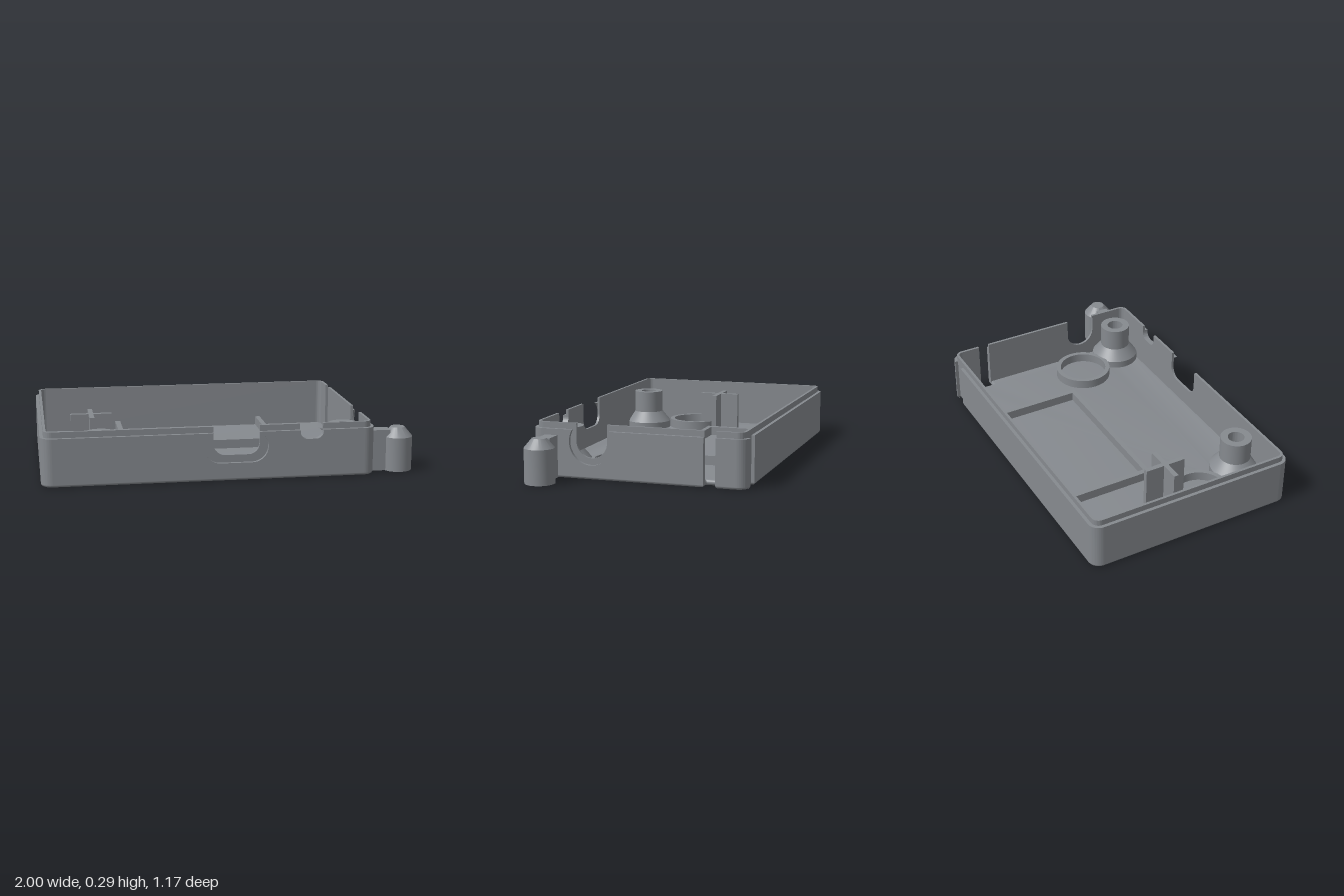
import * as THREE from 'three';
import { toCreasedNormals } from 'three/addons/utils/BufferGeometryUtils.js';

export function createModel() {
  const group = new THREE.Group();
  const grey = new THREE.MeshStandardMaterial({ color: 0x868a8f });
  grey.name = 'grey plastic';

  // Case bounds, corner radius, and the outer and inner wall layers
  const X0 = -1, X1 = 0.77, Z = 0.585, R = 0.06;
  const LIP = 0.018, WALL = 0.032, BASE = 0.015, RIM = 0.258, TOP = 0.29;
  const layers = [{ a: 0, b: LIP, top: RIM, outer: true }, { a: LIP, b: WALL, top: TOP, outer: false }];

  function add(name, geo, x = 0, y = 0, z = 0) {
    const mesh = new THREE.Mesh(geo, grey);
    mesh.name = name;
    mesh.position.set(x, y, z);
    group.add(mesh);
    return mesh;
  }
  const box = (name, x0, x1, y0, y1, z0, z1) =>
    add(name, new THREE.BoxGeometry(x1 - x0, y1 - y0, z1 - z0), (x0 + x1) / 2, (y0 + y1) / 2, (z0 + z1) / 2);
  const lathe = pts => new THREE.LatheGeometry(pts.map(p => new THREE.Vector2(...p)), 48);
  const extrude = (shape, depth) =>
    toCreasedNormals(new THREE.ExtrudeGeometry(shape, { depth, bevelEnabled: false, curveSegments: 10 }), 0.5);

  // Wall outline with rounded notches cut from its top edge (listed right to left)
  function panel(s0, s1, top, notches = []) {
    const s = new THREE.Shape();
    s.moveTo(s0, BASE);
    s.lineTo(s1, BASE);
    s.lineTo(s1, top);
    for (const n of notches) {
      const t = n.round ? Math.asin(Math.min(1, (top - n.y) / n.r)) : 0;
      if (!n.round) s.lineTo(n.c1 + n.r, top);
      s.absarc(n.c1, n.y, n.r, t, -Math.PI / 2, true);
      s.absarc(n.c0, n.y, n.r, -Math.PI / 2, -Math.PI - t, true);
      if (!n.round) s.lineTo(n.c0 - n.r, top);
    }
    s.lineTo(s0, top);
    return s;
  }

  const port = { c0: -0.04, c1: 0.085, y: 0.195, r: 0.06 };
  const portRecess = { c0: -0.065, c1: 0.105, y: 0.18, r: 0.085, round: true };
  const smallPort = { c0: 0.4, c1: 0.445, y: 0.25, r: 0.04 };
  const sidePort = { c0: -0.255, c1: -0.255, y: 0.195, r: 0.085 };
  const sideRecess = { c0: -0.255, c1: -0.255, y: 0.195, r: 0.12, round: true };

  for (const { a, b, top, outer } of layers) {
    const t = b - a;
    // Front and back walls; the back has a shallow recess beside one corner
    add('frontWall', extrude(panel(X0 + R, X1 - R, top, [smallPort, outer ? portRecess : port]), t), 0, 0, Z - b);
    add('backWall', extrude(panel(X0 + R, outer ? 0.63 : X1 - R, top), t), 0, 0, -Z + a);
    // Side walls; the left one is split by a full-height slot
    const side = (name, x, shape) => add(name, extrude(shape, t).rotateY(Math.PI / 2), x);
    side('rightWall', X0 + a, panel(-Z + R, Z - R, top));
    side('leftWall', X1 - b, panel(-Z + R, 0.355, top, [outer ? sideRecess : sidePort]));
    side('leftWallRear', X1 - b, panel(0.418, Z - R, top));
    // Rounded corners
    [[X1 - R, Z - R], [X0 + R, Z - R], [X0 + R, R - Z], [X1 - R, R - Z]].forEach(([cx, cy], k) => {
      const s = new THREE.Shape();
      const a0 = k * Math.PI / 2, a1 = a0 + Math.PI / 2;
      s.absarc(cx, cy, R - a, a0, a1, false);
      s.absarc(cx, cy, R - b, a1, a0, true);
      add('cornerWall', extrude(s, top - BASE).rotateX(-Math.PI / 2), 0, BASE, 0);
    });
  }

  // Floor with rounded lower edge, slot, rear recess and screw holes
  const posts = [[-0.685, 0.455], [0.63, 0.44]];
  const f = new THREE.Shape();
  f.moveTo(X0 + R, -Z);
  f.absarc(X1 - R, R - Z, R, -Math.PI / 2, 0, false);
  f.lineTo(X1, 0.355);
  f.lineTo(0.71, 0.355);
  f.lineTo(0.71, 0.418);
  f.lineTo(X1, 0.418);
  f.absarc(X1 - R, Z - R, R, 0, Math.PI / 2, false);
  f.lineTo(X1 - R, Z - LIP);
  f.lineTo(0.63, Z - LIP);
  f.lineTo(0.63, Z);
  f.absarc(X0 + R, Z - R, R, Math.PI / 2, Math.PI, false);
  f.absarc(X0 + R, R - Z, R, Math.PI, Math.PI * 1.5, false);
  for (const [x, z] of posts) {
    const hole = new THREE.Path();
    hole.absarc(x, -z, 0.085, 0, Math.PI * 2, true);
    f.holes.push(hole);
  }
  const bevel = 0.014;
  const floor = new THREE.ExtrudeGeometry(f, {
    depth: 0.002, bevelThickness: bevel, bevelSize: bevel, bevelOffset: -bevel, bevelSegments: 4, curveSegments: 10,
  });
  add('floor', toCreasedNormals(floor.translate(0, 0, bevel).rotateX(-Math.PI / 2), 0.5));

  // Hollow screw posts with conical feet, trimmed where they meet the walls
  for (const [x, z] of posts) {
    const geo = lathe([
      [0.075, 0], [0.103, 0], [0.103, 0.02], [0.135, 0.028], [0.135, 0.07], [0.085, 0.13],
      [0.085, 0.255], [0.045, 0.255], [0.045, 0.12], [0.075, 0.12], [0.075, 0],
    ]);
    const p = geo.attributes.position;
    for (let i = 0; i < p.count; i++) {
      p.setX(i, Math.min(p.getX(i), 0.75 - x));
      p.setZ(i, Math.min(p.getZ(i), 0.565 - z));
    }
    add('screwPost', toCreasedNormals(geo, 0.5), x, 0, z);
  }

  // Round locating rings
  for (const x of [-0.785, 0.55]) {
    const ring = lathe([[0.16, 0.02], [0.16, 0.08], [0.135, 0.08], [0.135, 0.02]]);
    add('locatingRing', toCreasedNormals(ring, 0.5), x, 0, 0.175);
  }

  // Three-sided frame against the back wall
  box('frameRib', -0.53, -0.5, 0.02, 0.08, -0.56, 0.015);
  box('frameRib', 0.33, 0.357, 0.02, 0.08, -0.56, 0.015);
  box('frameFrontRib', -0.53, 0.357, 0.02, 0.08, -0.012, 0.015);

  // Cross-shaped support
  box('crossSupport', -0.82, -0.59, 0.02, 0.255, -0.015, 0.011);
  box('crossSupport', -0.718, -0.692, 0.02, 0.255, -0.12, 0.11);

  // Outer peg and the arm joining it to the wall
  box('pegArm', 0.72, 0.87, 0.001, 0.225, 0.44, 0.51);
  const peg = lathe([[0, 0], [0.08, 0], [0.08, 0.185], [0.038, 0.235], [0, 0.235]]);
  add('peg', toCreasedNormals(peg, 0.5), 0.92, 0, 0.475);

  return group;
}
